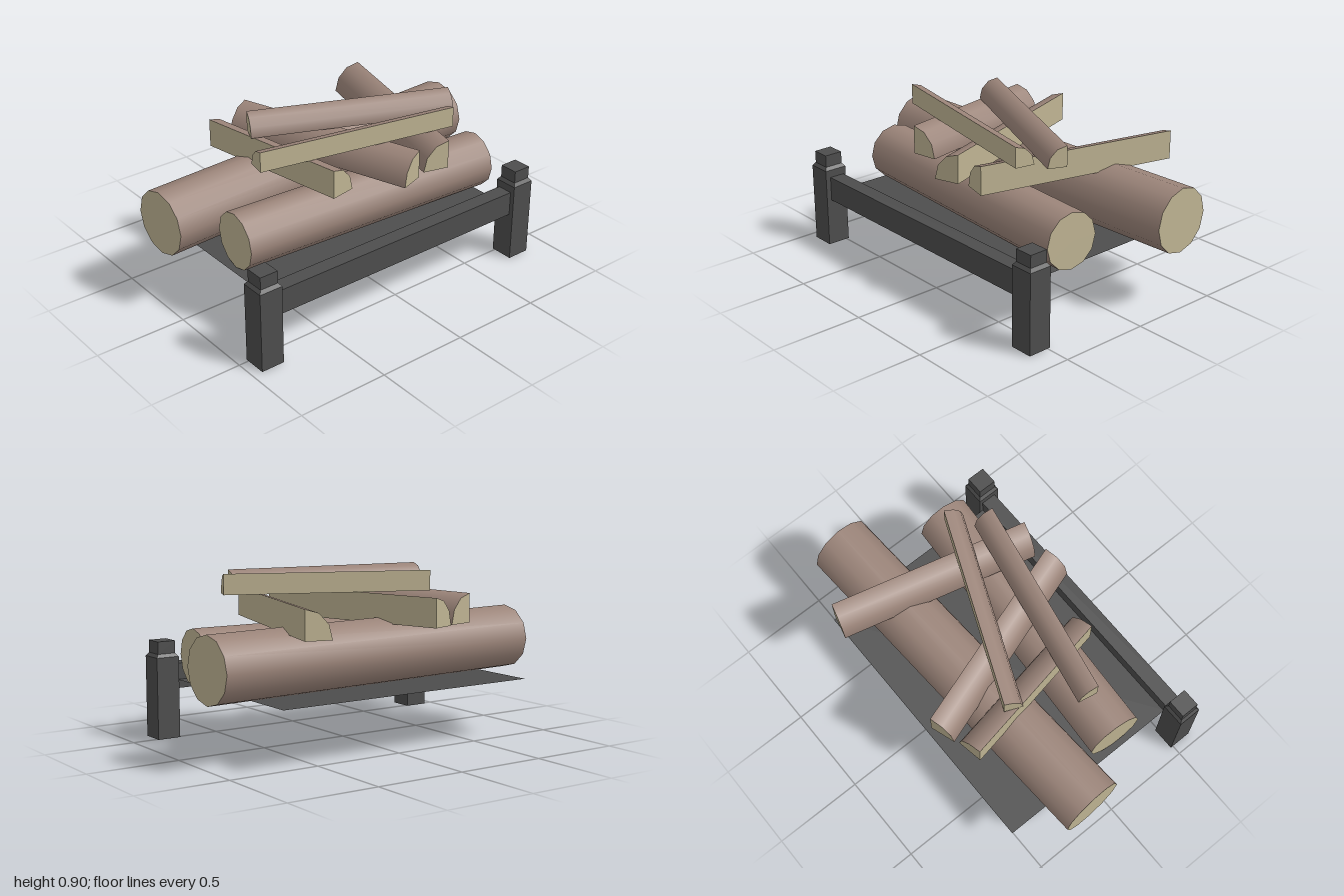
import * as THREE from 'three';
import { mergeGeometries } from 'three/addons/utils/BufferGeometryUtils.js';

export function createModel() {
  const model = new THREE.Group();
  const material = (name, color, extra = {}) => {
    const m = new THREE.MeshStandardMaterial({ color, ...extra });
    m.name = name;
    return m;
  };
  const iron = material('iron', 0x4d4d4d, { side: THREE.DoubleSide });
  const bark = material('bark', 0x9c857a);
  const wood = material('cut wood', 0xbfb493);

  const add = (parent, name, geometry, mat, x = 0, y = 0, z = 0) => {
    const mesh = new THREE.Mesh(geometry, mat);
    mesh.name = name;
    mesh.position.set(x, y, z);
    parent.add(mesh);
    return mesh;
  };

  // Grate: two capped posts, a front rail and a thin tray
  const squareTaper = (top, bottom, h) => {
    const g = new THREE.CylinderGeometry(top * Math.SQRT1_2, bottom * Math.SQRT1_2, h, 4, 1, true)
      .rotateY(Math.PI / 4).toNonIndexed();
    g.computeVertexNormals();
    return g;
  };
  for (const [side, x] of [['right', -0.88], ['left', 0.795]]) {
    const post = new THREE.Group();
    post.name = side + 'Post';
    post.position.set(x, 0, 0.55);
    add(post, 'postShaft', new THREE.BoxGeometry(0.13, 0.44, 0.13), iron, 0, 0.22);
    add(post, 'postBevel', squareTaper(0.102, 0.13, 0.018), iron, 0, 0.449);
    add(post, 'postCap', new THREE.BoxGeometry(0.102, 0.067, 0.102), iron, 0, 0.4915);
    model.add(post);
  }
  add(model, 'frontRail', new THREE.BoxGeometry(1.54, 0.135, 0.085), iron, -0.04, 0.3325, 0.547);
  add(model, 'tray', new THREE.PlaneGeometry(1.54, 1.06).rotateX(-Math.PI / 2), iron, -0.04, 0.312, -0.02);

  // Whole logs: axis runs between two plan points (x, z)
  const log = (name, a, b, radius, y) => {
    const dx = b[0] - a[0], dz = b[1] - a[1];
    const g = new THREE.CylinderGeometry(radius, radius, Math.hypot(dx, dz), 12).rotateX(Math.PI / 2);
    const mesh = add(model, name, g, [bark, wood, wood], (a[0] + b[0]) / 2, y, (a[1] + b[1]) / 2);
    mesh.rotation.y = Math.atan2(dx, dz);
  };
  log('backLog', [-0.992, -0.173], [0.99, -0.28], 0.175, 0.49);
  log('frontLog', [-0.775, 0.17], [0.766, 0.26], 0.153, 0.465);

  // Split logs: quarter rounds whose upright cut face runs from a to b, bark to the left of travel
  const split = (name, a, b, width, height, y) => {
    const dx = b[0] - a[0], dz = b[1] - a[1];
    const length = Math.hypot(dx, dz);
    const quarter = Math.PI / 2;
    const round = new THREE.CylinderGeometry(1, 1, 1, 3, 1, true, 0, quarter)
      .rotateX(-quarter).translate(0, 0, 0.5);
    const cuts = mergeGeometries([
      new THREE.PlaneGeometry(1, 1).rotateY(-quarter).translate(0, 0.5, 0.5),
      new THREE.PlaneGeometry(1, 1).rotateX(quarter).translate(0.5, 0, 0.5),
      new THREE.CircleGeometry(1, 3, 0, quarter).translate(0, 0, 1),
      new THREE.CircleGeometry(1, 3, quarter, quarter).rotateY(Math.PI),
    ]);
    const piece = new THREE.Group();
    piece.name = name;
    piece.position.set(a[0], y, a[1]);
    piece.rotation.y = Math.atan2(dx, dz);
    add(piece, name + 'Bark', round.scale(width, height, length), bark);
    add(piece, name + 'CutFaces', cuts.scale(width, height, length), wood);
    model.add(piece);
  };
  // Middle layer
  split('rightSplit', [-0.47, -0.485], [-0.315, 0.38], 0.141, 0.155, 0.636);
  split('middleSplit', [0.165, 0.475], [-0.18, -0.57], 0.139, 0.155, 0.636);
  split('leftSplit', [0.355, 0.487], [0.625, -0.58], 0.141, 0.155, 0.636);
  // Top layer
  split('frontTopSplit', [-0.605, 0.165], [0.485, 0.375], 0.107, 0.11, 0.79);
  split('backTopSplit', [0.632, 0.17], [-0.385, -0.26], 0.102, 0.11, 0.79);

  return model;
}
